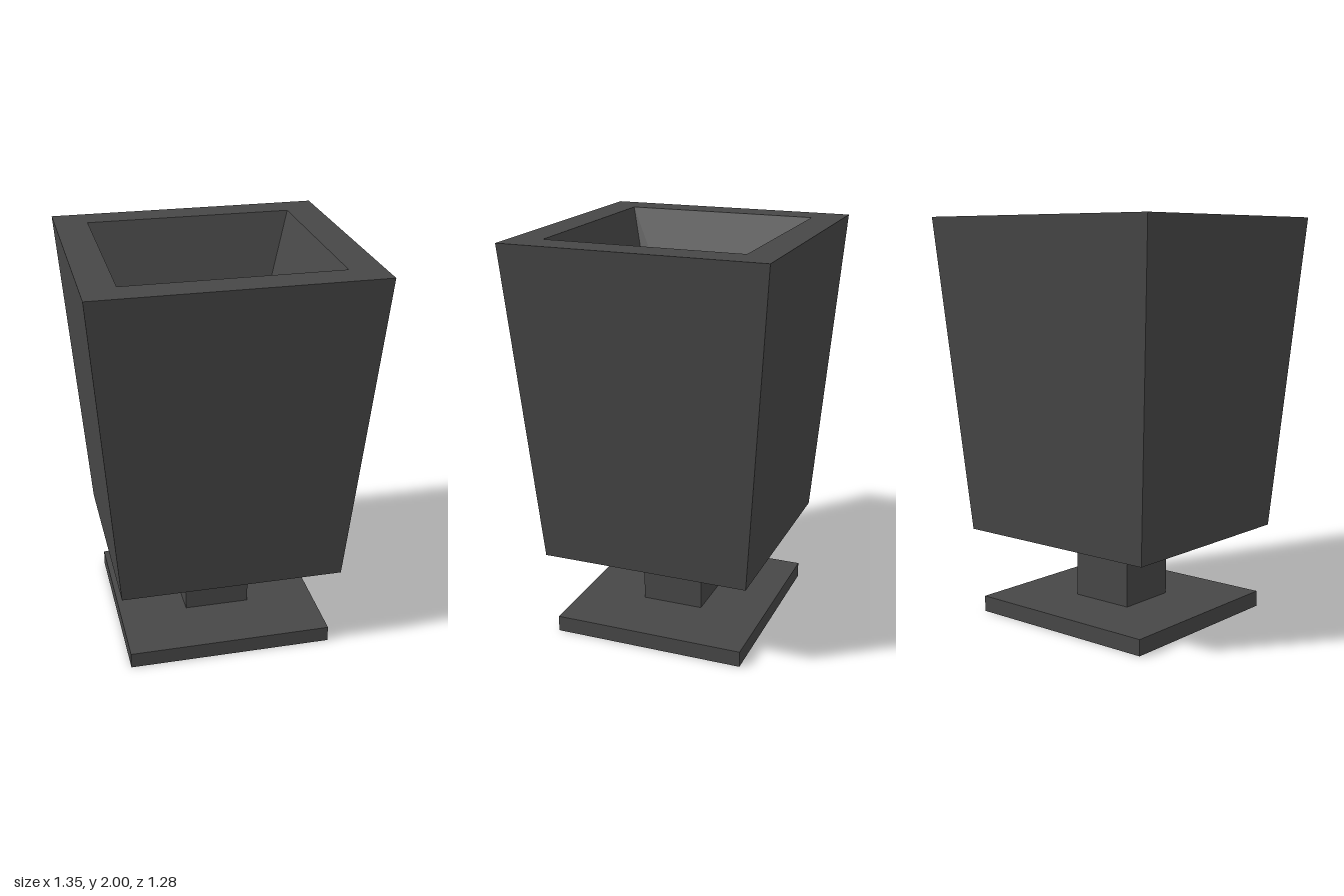
import * as THREE from 'three';

const DEPTH_RATIO = 0.945; // the plan is slightly narrower in z than in x

// Square solid turned from a profile of [half width, height], bottom centre to top centre
function squareTurned(name, profile, material) {
  const points = profile.map(([half, y]) => new THREE.Vector2(half * Math.SQRT2, y));
  let geometry = new THREE.LatheGeometry(points, 4, Math.PI / 4);
  geometry.scale(1, 1, DEPTH_RATIO);
  geometry = geometry.toNonIndexed();
  geometry.computeVertexNormals();
  const mesh = new THREE.Mesh(geometry, material);
  mesh.name = name;
  return mesh;
}

export function createModel() {
  const charcoal = new THREE.MeshStandardMaterial({ color: 0x474747, flatShading: true });
  charcoal.name = 'charcoal';

  const planter = new THREE.Group();
  planter.name = 'planter';

  // Flat foot plate
  planter.add(squareTurned('base', [[0, 0], [0.512, 0], [0.512, 0.08], [0, 0.08]], charcoal));

  // Short square pedestal
  planter.add(squareTurned('stem', [[0, 0.08], [0.166, 0.08], [0.166, 0.435], [0, 0.435]], charcoal));

  // Flared pot: underside, outer walls, rim, tapered cavity, cavity floor
  planter.add(squareTurned('pot', [
    [0, 0.435], [0.55, 0.435], [0.675, 2], [0.513, 2], [0.145, 0.87], [0, 0.87],
  ], charcoal));

  return planter;
}
